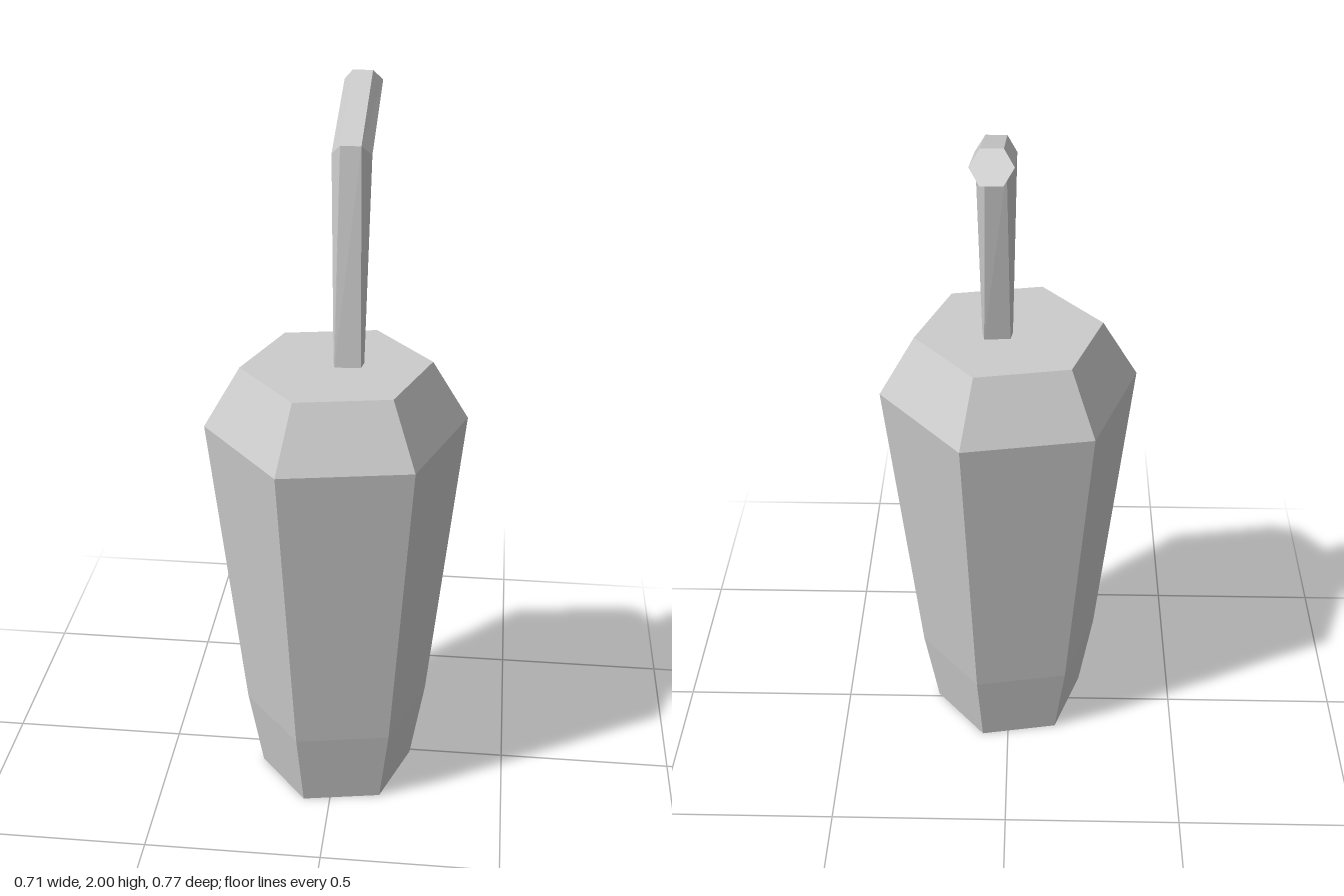
import * as THREE from 'three';

const material = new THREE.MeshStandardMaterial({ color: 0xcccccc, flatShading: true });

function addMesh(group, name, geometry) {
  const faceted = geometry.index ? geometry.toNonIndexed() : geometry;
  faceted.computeVertexNormals();
  const mesh = new THREE.Mesh(faceted, material);
  mesh.name = name;
  group.add(mesh);
  return mesh;
}

// Six-sided body turned from a [radius, height] profile
function hexLathe(profile) {
  const points = profile.map(([r, y]) => new THREE.Vector2(r, y));
  return new THREE.LatheGeometry(points, 6, THREE.MathUtils.degToRad(40));
}

// Hexagonal ring: centre, half widths at the sides and flats, and the vector to the upper flat
function ring([x, y, z], side, flat, [uy, uz], skew = 0) {
  return [[side, 0], [flat, 1], [-flat, 1], [-side, 0], [-flat, -1], [flat, -1]]
    .map(([dx, u]) => [x + dx, y + u * uy, z + u * uz - dx * skew]);
}

// Skin over successive rings, closed at the last one
function loft(rings) {
  const index = [];
  const n = 6;
  for (let r = 0; r < rings.length - 1; r++) {
    for (let i = 0; i < n; i++) {
      const a = r * n + i, b = r * n + (i + 1) % n;
      index.push(a, a + n, b, b, a + n, b + n);
    }
  }
  const end = (rings.length - 1) * n;
  for (let i = 1; i < n - 1; i++) index.push(end, end + i + 1, end + i);
  const geometry = new THREE.BufferGeometry();
  geometry.setAttribute('position', new THREE.Float32BufferAttribute(rings.flat(2), 3));
  geometry.setIndex(index);
  return geometry;
}

export function createModel() {
  const group = new THREE.Group();
  group.name = 'drinkCup';

  // Tapered cup with a narrower foot
  const cup = addMesh(group, 'cup', hexLathe([[0, 0], [0.223, 0], [0.264, 0.24], [0.358, 1.14]]));
  // Bevelled lid with a flat top
  const lid = addMesh(group, 'lid', hexLathe([[0.358, 1.14], [0.258, 1.31], [0, 1.31]]));
  cup.position.z = lid.position.z = 0.05;

  // Straw leaning back from the lid, then bent towards the rear
  addMesh(group, 'straw', loft([
    ring([0.031, 1.31, 0.034], 0.041, 0.035, [0, 0.033], 0.07),
    ring([0.031, 1.86, -0.027], 0.052, 0.027, [0.03, 0.032]),
    ring([0.031, 1.968, -0.357], 0.052, 0.027, [0.032, 0.03]),
  ]));

  return group;
}
